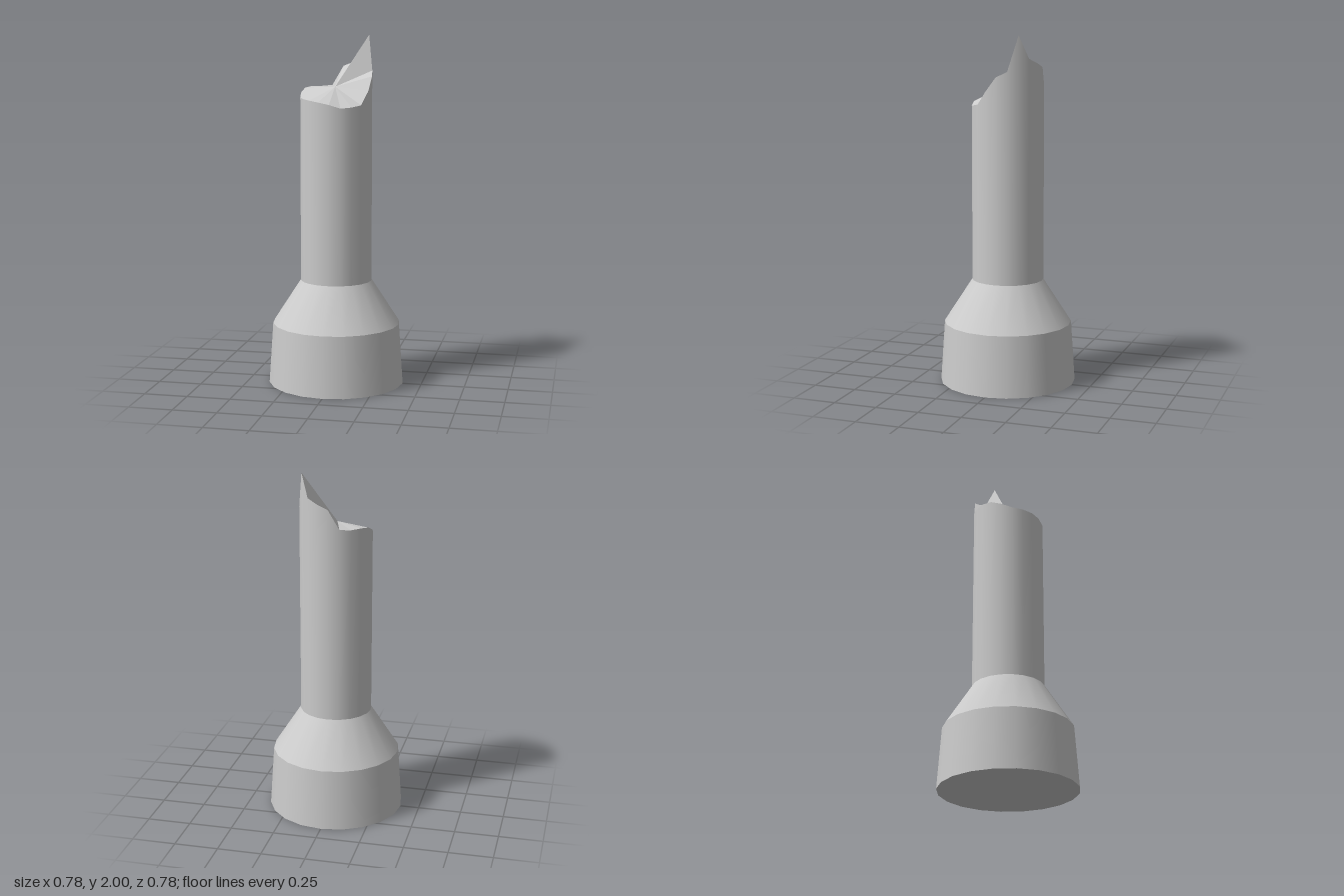
import * as THREE from 'three';

const SIDES = 20;
const SHAFT_RADIUS = 0.205;
const SHAFT_BOTTOM = 0.6;

// Height of the broken rim at each side, starting at +z and turning towards +x
const RIM = [
  1.62, 1.6, 1.605, 1.615, 1.69, 1.77, 1.8, 2.0, 1.87, 1.845,
  1.82, 1.71, 1.705, 1.707, 1.7, 1.675, 1.65, 1.645, 1.64, 1.632,
];
const BREAK_CENTRE = [-0.006, 1.71, 0.004];

export function createModel() {
  const group = new THREE.Group();
  const smooth = new THREE.MeshStandardMaterial({ color: 0xcccccc });
  const faceted = new THREE.MeshStandardMaterial({ color: 0xcccccc, flatShading: true });

  function add(name, geometry, material = smooth) {
    const mesh = new THREE.Mesh(geometry, material);
    mesh.name = name;
    group.add(mesh);
  }

  // Open ring between two heights
  function ring(topRadius, bottomRadius, y0, y1) {
    return new THREE.CylinderGeometry(topRadius, bottomRadius, y1 - y0, SIDES, 1, true)
      .translate(0, (y0 + y1) / 2, 0);
  }

  // Tapered base, sloping shoulder and underside
  add('base', ring(0.367, 0.391, 0, 0.35));
  add('shoulder', ring(SHAFT_RADIUS, 0.367, 0.35, SHAFT_BOTTOM));
  const underside = new THREE.CircleGeometry(0.391, SIDES).rotateX(Math.PI / 2);
  add('underside', underside);

  // Shaft: the top row of vertices is raised to the broken rim
  const shaft = ring(SHAFT_RADIUS, SHAFT_RADIUS, SHAFT_BOTTOM, 1.6);
  for (let i = 0; i <= SIDES; i++) {
    shaft.attributes.position.setY(i, RIM[i % SIDES]);
  }
  add('shaft', shaft);

  // Fractured top: a cone whose apex and rim follow the break
  const fracture = new THREE.ConeGeometry(SHAFT_RADIUS, 1, SIDES, 1, true);
  const pos = fracture.attributes.position;
  for (let i = 0; i <= SIDES; i++) {
    pos.setXYZ(i, ...BREAK_CENTRE);
    pos.setY(SIDES + 1 + i, RIM[i % SIDES]);
  }
  fracture.computeVertexNormals();
  add('fracturedTop', fracture, faceted);

  return group;
}
